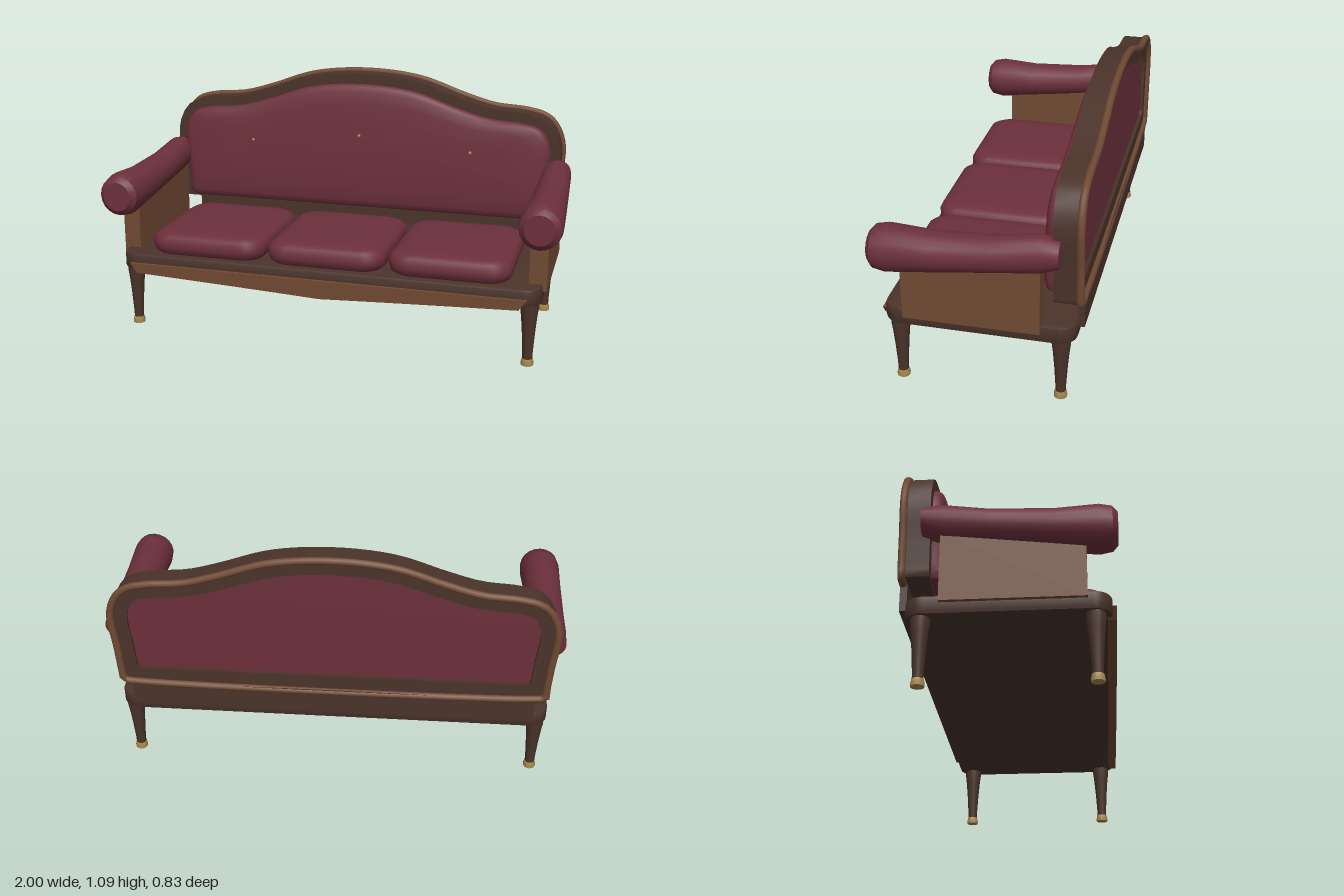
import * as THREE from 'three';
import { toCreasedNormals } from 'three/addons/utils/BufferGeometryUtils.js';

const paint = (color) => new THREE.MeshStandardMaterial({ color });
const darkWood = paint(0x4a332a);
const lightWood = paint(0x704a33);
const fabric = paint(0x6c303b);
const brass = paint(0xa88a50);

// Closed skin over equal-length rings running along +z, capped at both ends
function loft(rings) {
  const n = rings[0].length, pos = [], index = [];
  rings.forEach((ring) => ring.forEach((p) => pos.push(p.x, p.y, p.z)));
  for (let i = 0; i < rings.length - 1; i++) {
    for (let j = 0; j < n; j++) {
      const a = i * n + j, b = i * n + (j + 1) % n;
      index.push(a, b, b + n, a, b + n, a + n);
    }
  }
  [0, rings.length - 1].forEach((r) => {
    const c = new THREE.Vector3();
    rings[r].forEach((p) => c.addScaledVector(p, 1 / n));
    const k = pos.length / 3;
    pos.push(c.x, c.y, c.z);
    for (let j = 0; j < n; j++) {
      const a = r * n + j, b = r * n + (j + 1) % n;
      if (r) index.push(a, b, k); else index.push(b, a, k);
    }
  });
  const g = new THREE.BufferGeometry();
  g.setAttribute('position', new THREE.Float32BufferAttribute(pos, 3));
  g.setIndex(index);
  g.computeVertexNormals();
  return toCreasedNormals(g, 0.7);
}

// Upholstered pad: an outline drawn inwards by [inset, height] steps
function pad(points, steps, lean = () => 0) {
  const box = new THREE.Box2().setFromPoints(points);
  const c = box.getCenter(new THREE.Vector2());
  const h = box.getSize(new THREE.Vector2()).multiplyScalar(0.5);
  return loft(steps.map(([inset, z]) => points.map((p) => {
    const x = c.x + (p.x - c.x) * (1 - inset / h.x);
    const y = c.y + (p.y - c.y) * (1 - inset / h.y);
    return new THREE.Vector3(x, y, z + lean(y));
  })));
}

function roundedRect(w, d, r) {
  const s = new THREE.Shape(), x = w / 2, y = d / 2;
  s.absarc(x - r, y - r, r, 0, Math.PI / 2);
  s.absarc(-x + r, y - r, r, Math.PI / 2, Math.PI);
  s.absarc(-x + r, -y + r, r, Math.PI, Math.PI * 1.5);
  s.absarc(x - r, -y + r, r, Math.PI * 1.5, Math.PI * 2);
  return s;
}

// Camelback outline, counter-clockwise, moved inwards by inset, bottom at y0
function backOutline(inset, y0, r = 0.02) {
  const half = [[0.912, 0.42], [0.922, 0.6], [0.934, 0.77], [0.905, 0.86], [0.855, 0.915], [0.765, 0.942],
    [0.605, 0.957], [0.47, 0.995], [0.257, 1.065], [0, 1.089]].map(([x, y]) => new THREE.Vector3(x, y, 0));
  const mirrored = half.slice(0, -1).reverse().map((p) => new THREE.Vector3(-p.x, p.y, 0));
  const curve = new THREE.CatmullRomCurve3([...half, ...mirrored]);
  const pts = [];
  for (let i = 0; i <= 56; i++) {
    const p = curve.getPointAt(i / 56), t = curve.getTangentAt(i / 56);
    const q = new THREE.Vector2(p.x - t.y * inset, p.y + t.x * inset);
    if (q.y > y0 + r * 1.2) pts.push(q);
  }
  const x = pts[0].x;
  const corner = [[x - r, y0], [x - 0.3 * r, y0 + 0.3 * r], [x, y0 + r]];
  return [...corner.map(([a, b]) => new THREE.Vector2(a, b)), ...pts,
    ...corner.reverse().map(([a, b]) => new THREE.Vector2(-a, b))];
}

export function createModel() {
  const model = new THREE.Group();
  const add = (name, geometry, material, x = 0, y = 0, z = 0, parent = model) => {
    const m = new THREE.Mesh(geometry, material);
    m.name = name;
    m.position.set(x, y, z);
    parent.add(m);
    return m;
  };

  // Seat base with rounded corners
  const base = new THREE.ExtrudeGeometry(roundedRect(1.826, 0.75, 0.06), {
    depth: 0.055, bevelThickness: 0.01, bevelSize: 0.01, bevelSegments: 2, curveSegments: 6 });
  base.rotateX(-Math.PI / 2);
  add('seatBase', toCreasedNormals(base, 0.6), darkWood, 0, 0.28, 0);

  // Bowed front apron
  const apron = new THREE.Shape();
  apron.moveTo(0.87, 0.305);
  apron.lineTo(-0.87, 0.305);
  apron.lineTo(-0.84, 0.262);
  apron.quadraticCurveTo(-0.4, 0.245, 0, 0.225);
  apron.quadraticCurveTo(0.4, 0.245, 0.84, 0.262);
  add('frontApron', new THREE.ExtrudeGeometry(apron, { depth: 0.034, bevelEnabled: false }), lightWood, 0, 0, 0.366);

  // Tapered legs with brass feet
  const v2 = (list) => list.map(([x, y]) => new THREE.Vector2(x, y));
  const legShape = new THREE.LatheGeometry(v2([[0.021, 0.025], [0.022, 0.06], [0.027, 0.14], [0.033, 0.21],
    [0.038, 0.25], [0.037, 0.29]]), 14);
  const footShape = toCreasedNormals(new THREE.LatheGeometry(v2([[0, 0], [0.026, 0], [0.027, 0.01],
    [0.023, 0.029], [0, 0.03]]), 14), 0.6);
  for (const sx of [1, -1]) {
    for (const sz of [1, -1]) {
      const leg = new THREE.Group();
      leg.name = sz > 0 ? 'frontLeg' : 'backLeg';
      leg.position.set(sx * 0.877, 0, sz * 0.324);
      model.add(leg);
      add('legPost', legShape, darkWood, 0, 0, 0, leg);
      add('legFoot', footShape, brass, 0, 0, 0, leg);
    }
  }

  // Three seat cushions
  const cushion = pad(roundedRect(0.52, 0.575, 0.09).getPoints(6).slice(0, -1), [
    [0.02, 0], [0.006, 0.012], [0, 0.035], [0, 0.06], [0.01, 0.08], [0.03, 0.092], [0.07, 0.098], [0.16, 0.101]]);
  cushion.rotateX(-Math.PI / 2);
  for (const x of [-0.537, 0, 0.537]) add('seatCushion', cushion, fabric, x, 0.345, 0.08);

  // Arms: side panel under a swelling upholstered roll
  const panel = new THREE.Shape(v2([[-0.295, 0.315], [0.252, 0.315], [0.252, 0.6], [-0.295, 0.56]]));
  const panelShape = new THREE.ExtrudeGeometry(panel, { depth: 0.075, bevelEnabled: false });
  panelShape.rotateY(Math.PI / 2);
  const rollRows = [[-0.325, 0.663, 0.058, 0.058], [-0.25, 0.655, 0.064, 0.078], [-0.07, 0.632, 0.072, 0.073],
    [0.18, 0.612, 0.083, 0.082], [0.345, 0.608, 0.09, 0.098], [0.395, 0.608, 0.085, 0.087], [0.415, 0.608, 0.062, 0.064]];
  const rollShape = loft(rollRows.map(([z, y, rx, ry]) => Array.from({ length: 20 }, (_, i) => {
    const a = i / 20 * Math.PI * 2;
    return new THREE.Vector3(Math.cos(a) * rx, y + Math.sin(a) * ry, z);
  })));
  for (const s of [1, -1]) {
    const side = s > 0 ? 'left' : 'right';
    add(side + 'ArmPanel', panelShape, lightWood, s * 0.903 - 0.0375, 0, 0);
    add(side + 'ArmRoll', rollShape, fabric, s * 0.91, 0, 0);
  }

  // Camelback frame, open in the middle
  const frame = new THREE.Shape(backOutline(0.014, 0.435));
  const opening = backOutline(0.085, 0.5);
  frame.holes.push(new THREE.Path(opening));
  add('backFrame', toCreasedNormals(new THREE.ExtrudeGeometry(frame, { depth: 0.1, bevelEnabled: false }), 0.5),
    darkWood, 0, 0, -0.395);

  // Moulded rail around the rear edge
  const railPath = new THREE.CatmullRomCurve3(
    backOutline(0.016, 0.436).map((p) => new THREE.Vector3(p.x, p.y, -0.399)), true);
  add('backRail', new THREE.TubeGeometry(railPath, 160, 0.016, 8, true), lightWood);

  // Board closing the gap below the back
  add('lowerBackBoard', new THREE.BoxGeometry(1.71, 0.115, 0.028), darkWood, 0, 0.377, -0.396);

  // Rear fabric panel and front back pad
  add('rearPanel', new THREE.ExtrudeGeometry(new THREE.Shape(backOutline(0.08, 0.495)),
    { depth: 0.06, bevelEnabled: false }), fabric, 0, 0, -0.38);
  const lean = (y) => -0.06 * Math.max(0, y - 0.62);
  add('backPad', pad(backOutline(0.058, 0.446, 0.035), [
    [0.004, -0.31], [0, -0.285], [0.004, -0.265], [0.015, -0.253], [0.035, -0.246], [0.09, -0.241], [0.18, -0.238]],
  lean), fabric);

  // Small brass buttons on the pad
  for (const [x, y] of [[-0.52, 0.745], [0, 0.793], [0.52, 0.745]]) {
    add('padButton', new THREE.SphereGeometry(0.008, 10, 6), brass, x, y, -0.239 + lean(y));
  }
  return model;
}
